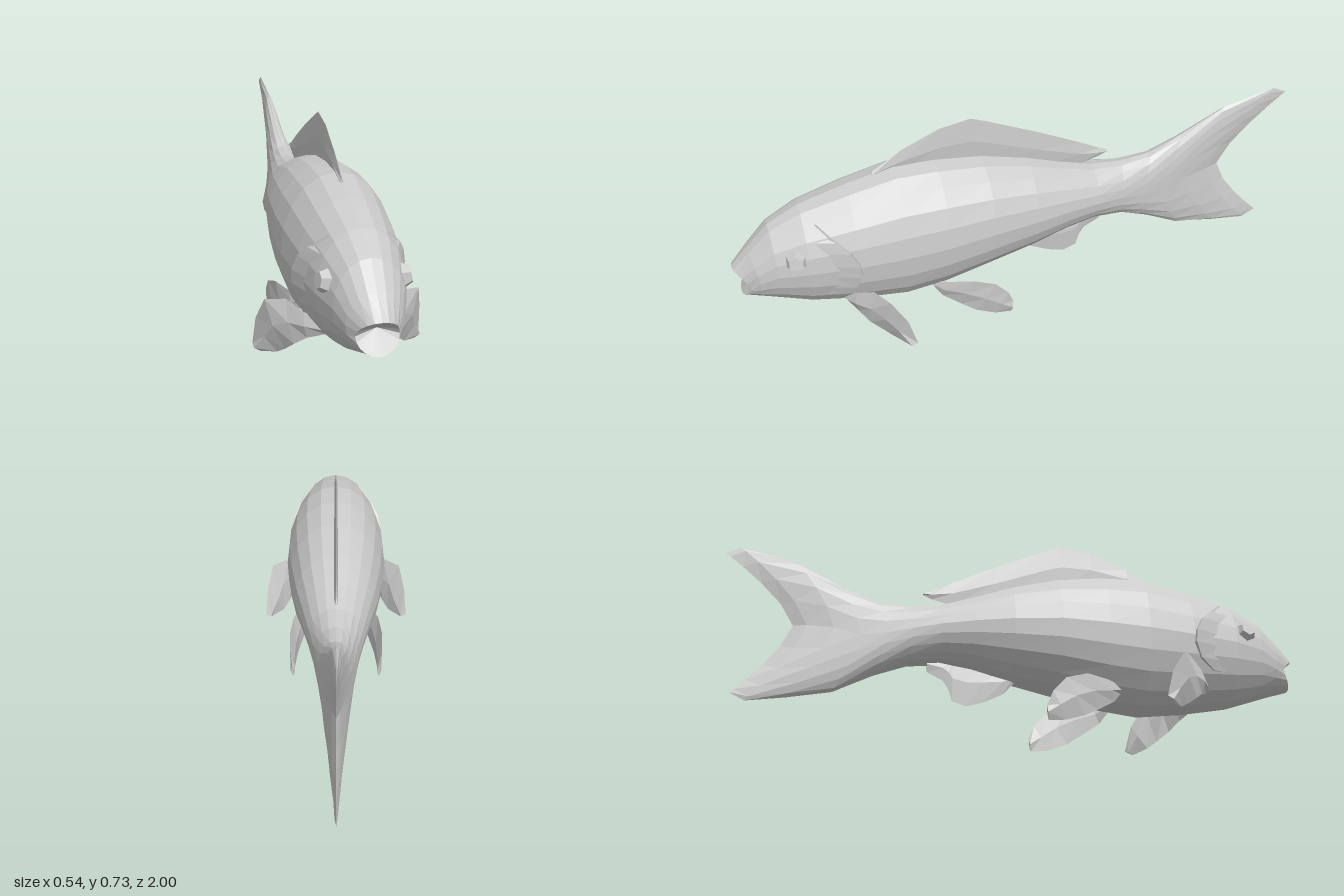
import * as THREE from 'three';

const bodyMaterial = new THREE.MeshStandardMaterial({ color: 0xcccccc, flatShading: true });
const finMaterial = new THREE.MeshStandardMaterial({ color: 0xcccccc, flatShading: true, side: THREE.DoubleSide });
const V = (x, y, z) => new THREE.Vector3(x, y, z);

// Skin a list of closed rings and close both ends with a fan.
function loft(rings, startCentre, endCentre) {
  const out = [];
  const tri = (...pts) => pts.forEach(p => out.push(p.x, p.y, p.z));
  const n = rings[0].length;
  const first = rings[0], last = rings[rings.length - 1];
  const mean = ring => ring.reduce((s, p) => s.add(p), V(0, 0, 0)).divideScalar(n);
  const c0 = startCentre || mean(first), c1 = endCentre || mean(last);
  for (let j = 0; j < n; j++) {
    const k = (j + 1) % n;
    for (let i = 0; i < rings.length - 1; i++) {
      const a = rings[i], b = rings[i + 1];
      tri(a[j], a[k], b[j]);
      tri(a[k], b[k], b[j]);
    }
    tri(c0, first[k], first[j]);
    if (endCentre !== null) tri(c1, last[j], last[k]);
  }
  const geometry = new THREE.BufferGeometry();
  geometry.setAttribute('position', new THREE.Float32BufferAttribute(out, 3));
  geometry.computeVertexNormals();
  return geometry;
}

// Body sections: z at top, y at top, z at middle, z at bottom, y at bottom, half width
const sections = [
  [1.0, 0.335, 0.95, 0.98, 0.225, 0.064],
  [0.94, 0.40, 0.92, 0.92, 0.207, 0.085],
  [0.866, 0.476, 0.86, 0.86, 0.185, 0.108],
  [0.76, 0.53, 0.76, 0.76, 0.15, 0.137],
  [0.60, 0.572, 0.60, 0.60, 0.12, 0.163],
  [0.44, 0.605, 0.44, 0.44, 0.10, 0.177],
  [0.30, 0.60, 0.30, 0.30, 0.117, 0.178],
  [0.14, 0.578, 0.14, 0.14, 0.155, 0.167],
  [-0.02, 0.535, -0.02, -0.02, 0.19, 0.145],
  [-0.15, 0.487, -0.15, -0.15, 0.225, 0.118],
  [-0.26, 0.452, -0.26, -0.26, 0.24, 0.095],
  [-0.37, 0.44, -0.35, -0.37, 0.225, 0.076],
  [-0.48, 0.45, -0.44, -0.48, 0.18, 0.06],
  [-0.60, 0.50, -0.53, -0.61, 0.11, 0.046],
  [-0.76, 0.58, -0.62, -0.76, 0.08, 0.032],
  [-0.95, 0.62, -0.71, -0.89, 0.06, 0.014],
  [-1.0, 0.595, -0.755, -0.94, 0.085, 0],
];

function bodyRing([zTop, yTop, zMid, zBottom, yBottom, w]) {
  const ring = [], sides = 20;
  const mid = (yTop + yBottom) / 2, half = (yTop - yBottom) / 2;
  for (let j = 0; j < sides; j++) {
    const a = j / sides * Math.PI * 2, c = Math.cos(a);
    const zEnd = c > 0 ? zTop : zBottom;
    ring.push(V(w * Math.sin(a), mid + half * c, zMid + (zEnd - zMid) * Math.abs(c) ** 1.4));
  }
  return ring;
}

// Half width of the body at a given height and depth
function bodyX(y, z) {
  let i = 0;
  while (sections[i + 1][2] > z) i++;
  const a = sections[i], b = sections[i + 1];
  const t = (a[2] - z) / (a[2] - b[2]);
  const [top, bottom, w] = [1, 4, 5].map(k => a[k] + (b[k] - a[k]) * t);
  const h = (y - (top + bottom) / 2) / ((top - bottom) / 2);
  return w * Math.sqrt(Math.max(0, 1 - h * h));
}

// Thin fin: each section is a pair of edge points and is thickest in the middle.
function fin(pairs, thickness) {
  const mids = pairs.map(([u, l]) => u.clone().add(l).multiplyScalar(0.5));
  const rings = pairs.map(([u, l], i) => {
    const span = mids[Math.min(i + 1, mids.length - 1)].clone().sub(mids[Math.max(i - 1, 0)]);
    const n = l.clone().sub(u).cross(span).normalize().multiplyScalar(thickness);
    return [u, mids[i].clone().add(n), l, mids[i].clone().sub(n)];
  });
  return loft(rings);
}

export function createModel() {
  const model = new THREE.Group();
  model.name = 'fish';
  const add = (parent, name, geometry, material) => {
    const mesh = new THREE.Mesh(geometry, material);
    mesh.name = name;
    parent.add(mesh);
    return mesh;
  };

  // Body, from the open mouth to the forked tail
  add(model, 'body', loft(sections.map(bodyRing), V(0, 0.298, 0.94), null), bodyMaterial);

  // Dorsal and anal fins: z, upper y, lower y
  const upright = rows => rows.map(([z, top, bottom]) => [V(0, top, z), V(0, bottom, z)]);
  add(model, 'dorsalFin', fin(upright([
    [0.51, 0.598, 0.58], [0.41, 0.66, 0.58], [0.28, 0.715, 0.575], [0.17, 0.732, 0.56],
    [0.12, 0.712, 0.55], [-0.07, 0.625, 0.49], [-0.22, 0.55, 0.462], [-0.29, 0.512, 0.48], [-0.32, 0.499, 0.494],
  ]), 0.006), finMaterial);
  add(model, 'analFin', fin(upright([
    [0.0, 0.23, 0.188], [-0.04, 0.23, 0.142], [-0.11, 0.25, 0.107], [-0.165, 0.26, 0.09],
    [-0.212, 0.265, 0.105], [-0.226, 0.265, 0.15], [-0.245, 0.265, 0.178], [-0.30, 0.26, 0.205],
  ]), 0.007), finMaterial);

  // Paired parts, made on the left and mirrored to the right
  for (const side of [1, -1]) {
    const half = new THREE.Group();
    half.name = side > 0 ? 'leftSide' : 'rightSide';
    half.scale.x = side;
    model.add(half);

    add(half, 'pectoralFin', fin([
      [V(0.08, 0.20, 0.66), V(0.08, 0.16, 0.65)],
      [V(0.14, 0.225, 0.62), V(0.13, 0.14, 0.62)],
      [V(0.185, 0.252, 0.57), V(0.165, 0.11, 0.59)],
      [V(0.245, 0.24, 0.53), V(0.185, 0.078, 0.55)],
      [V(0.265, 0.16, 0.48), V(0.205, 0.057, 0.52)],
      [V(0.272, 0.065, 0.455), V(0.25, 0.046, 0.48)],
    ], 0.012), finMaterial);

    add(half, 'pelvicFin', fin([
      [V(0.09, 0.165, 0.35), V(0.08, 0.14, 0.35)],
      [V(0.125, 0.17, 0.30), V(0.105, 0.10, 0.32)],
      [V(0.155, 0.175, 0.22), V(0.125, 0.06, 0.26)],
      [V(0.167, 0.15, 0.145), V(0.142, 0.03, 0.21)],
      [V(0.167, 0.10, 0.10), V(0.152, 0.006, 0.145)],
      [V(0.16, 0.05, 0.08), V(0.155, 0, 0.085)],
    ], 0.008), finMaterial);

    // Eye
    const eye = add(half, 'eye', new THREE.CylinderGeometry(0.026, 0.043, 0.035, 6), bodyMaterial);
    eye.position.set(0.121, 0.392, 0.80);
    eye.rotation.set(0, -0.2, -Math.PI / 2 + 0.2);
    eye.geometry.rotateY(Math.PI / 2);

    // Gill cover: a low wedge rising from the cheek to a raised rear edge
    const edge = [[0.50, 0.72], [0.45, 0.67], [0.41, 0.63], [0.36, 0.605], [0.315, 0.60], [0.265, 0.62], [0.23, 0.67]];
    const rings = edge.map(([y, z], i) => {
      const lift = 0.014 * Math.sin(Math.PI * (i + 0.5) / edge.length);
      return [
        V(bodyX(y, z + 0.09) - 0.004, y, z + 0.09),
        V(bodyX(y, z) - 0.012, y, z - 0.004),
        V(bodyX(y, z) + lift, y, z),
      ];
    });
    add(half, 'gillCover', loft(rings), finMaterial);
  }
  return model;
}
